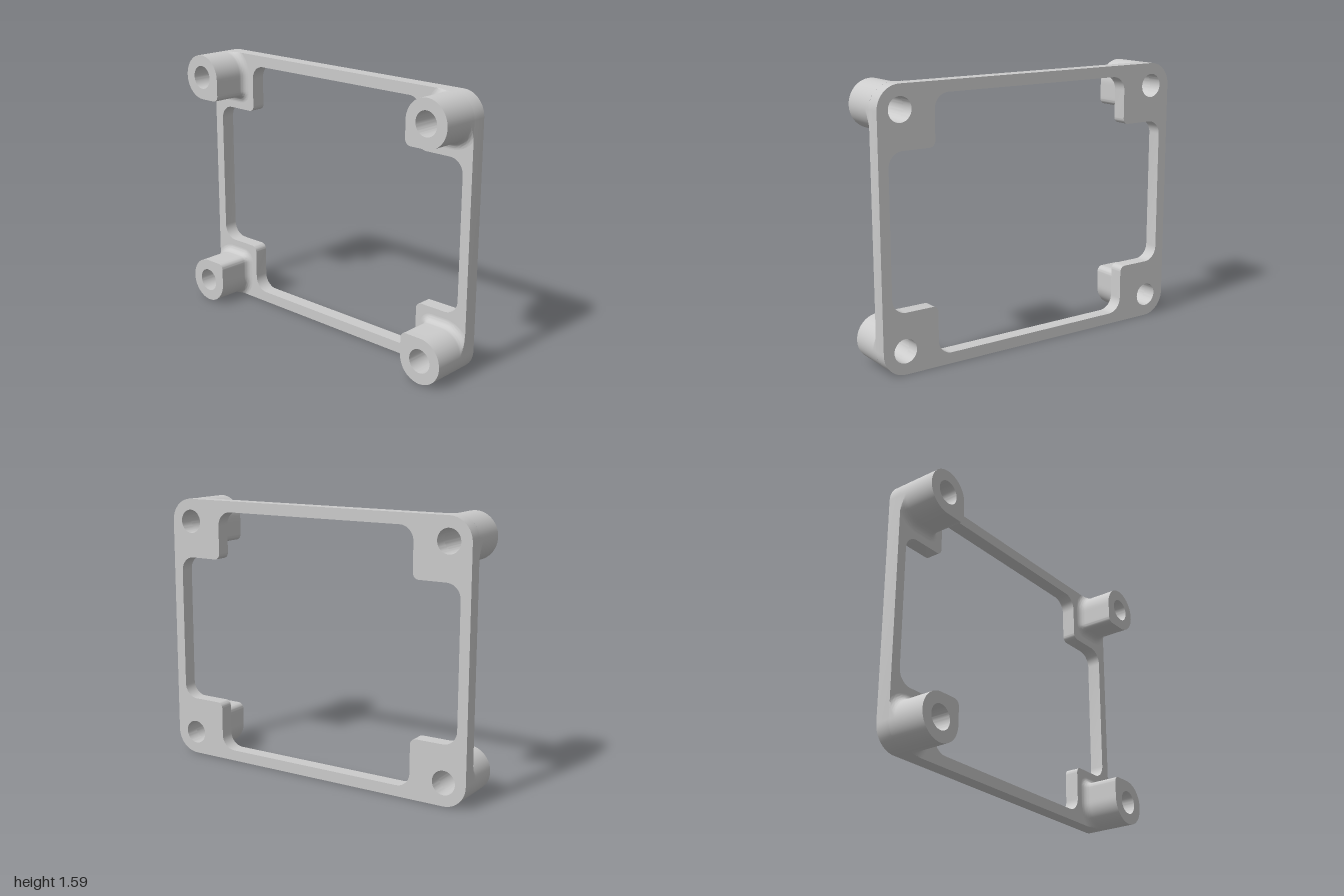
import * as THREE from 'three';
import { toCreasedNormals } from 'three/addons/utils/BufferGeometryUtils.js';

const W = 1, H = 1.59;                       // half width, full height
const Z_BACK = -0.155, Z_PLATE = -0.07, Z_FRONT = 0.155;
const R = 0.135, HOLE = 0.07, FILLET = 0.042; // boss radius, bore, base fillet
const CX = W - R, CY = H / 2 - R;            // boss centre, from the middle

// Polygon with each corner [x, y, radius] replaced by an arc
function roundedPolygon(corners) {
  const points = [];
  corners.forEach(([x, y, r], i) => {
    const c = new THREE.Vector2(x, y);
    const dirTo = ([px, py]) => new THREE.Vector2(px, py).sub(c).normalize().multiplyScalar(r);
    const n = corners.length;
    const a = dirTo(corners[(i + n - 1) % n]), b = dirTo(corners[(i + 1) % n]);
    const steps = 10;
    for (let k = 0; k <= steps; k++) {
      const t = (k / steps) * Math.PI / 2;
      points.push(c.clone().addScaledVector(a, 1 - Math.sin(t)).addScaledVector(b, 1 - Math.cos(t)));
    }
  });
  return points;
}

// Flat frame with stepped corner pads and four bores
function frameGeometry() {
  const h = H / 2;
  const shape = new THREE.Shape(roundedPolygon([[-W, -h, R], [W, -h, R], [W, h, R], [-W, h, R]]));
  const railX = 0.94, railY = 0.73, padX = 0.655, padY = 0.442;
  const opening = [];
  for (const [sx, sy] of [[1, 1], [-1, 1], [-1, -1], [1, -1]]) {
    const step = [
      [sx * railX, sy * padY, 0.085],
      [sx * padX, sy * padY, 0.035],
      [sx * padX, sy * railY, 0.085],
    ];
    opening.push(...(sx * sy > 0 ? step : step.reverse()));
  }
  shape.holes.push(new THREE.Path(roundedPolygon(opening)));
  for (const sx of [-1, 1]) for (const sy of [-1, 1]) {
    shape.holes.push(new THREE.Path().absarc(sx * CX, sy * CY, HOLE, 0, Math.PI * 2, true));
  }
  const geo = new THREE.ExtrudeGeometry(shape, { depth: Z_PLATE - Z_BACK, bevelEnabled: false, curveSegments: 24 });
  geo.translate(0, h, Z_BACK);
  return toCreasedNormals(geo, 0.5);
}

// Boss outline about its centre, u and v pointing outward: round, squared on the inner corner
function bossOutline() {
  const list = [], corner = 0.035, s = R - corner;
  const add = (u, v, angle) => list.push({ u, v, nu: Math.cos(angle), nv: Math.sin(angle) });
  for (let i = 0; i <= 42; i++) {
    const a = -Math.PI / 2 + (i / 42) * Math.PI * 1.5;
    add(R * Math.cos(a), R * Math.sin(a), a);
  }
  for (let i = 1; i < 6; i++) add(-R, -s * i / 6, Math.PI);
  for (let i = 0; i <= 8; i++) {
    const a = Math.PI + (i / 8) * Math.PI / 2;
    add(-s + corner * Math.cos(a), -s + corner * Math.sin(a), a);
  }
  for (let i = 1; i < 6; i++) add(-s + s * i / 6, -R, Math.PI * 1.5);
  return list;
}

// Boss skin: base fillet trimmed to the frame edge, wall, front face and bore
function bossGeometry(sx, sy) {
  const outline = bossOutline(), rings = [];
  const outer = (d, z) => rings.push(outline.map(({ u, v, nu, nv }) => {
    const grow = u > 0 && v > 0 ? 0 : d;
    return [Math.min(u + nu * grow, R), Math.min(v + nv * grow, R), z];
  }));
  const bore = z => rings.push(outline.map(({ u, v }) => {
    const k = HOLE / Math.hypot(u, v);
    return [u * k, v * k, z];
  }));
  for (let i = 0; i <= 10; i++) {
    const t = (i / 10) * Math.PI / 2;
    outer(FILLET * (1 - Math.sin(t)), Z_PLATE + FILLET * (1 - Math.cos(t)));
  }
  outer(0, Z_FRONT);
  bore(Z_FRONT);
  bore(Z_PLATE);

  const n = outline.length, positions = [], index = [];
  for (const ring of rings) for (const [u, v, z] of ring) {
    positions.push(sx * (CX + u), H / 2 + sy * (CY + v), z);
  }
  for (let i = 0; i < rings.length - 1; i++) for (let j = 0; j < n; j++) {
    const a = i * n + j, b = i * n + (j + 1) % n, c = b + n, d = a + n;
    if (sx * sy > 0) index.push(a, b, c, a, c, d);
    else index.push(a, c, b, a, d, c);
  }
  const geo = new THREE.BufferGeometry();
  geo.setAttribute('position', new THREE.Float32BufferAttribute(positions, 3));
  geo.setIndex(index);
  return toCreasedNormals(geo, 0.5);
}

export function createModel() {
  const model = new THREE.Group();
  model.name = 'mountingFrame';
  const material = new THREE.MeshStandardMaterial({ color: 0xcccccc });
  const add = (name, geo) => {
    const mesh = new THREE.Mesh(geo, material);
    mesh.name = name;
    model.add(mesh);
  };
  add('frame', frameGeometry());
  for (const sx of [-1, 1]) for (const sy of [-1, 1]) {
    add((sy > 0 ? 'upper' : 'lower') + (sx > 0 ? 'Left' : 'Right') + 'Boss', bossGeometry(sx, sy));
  }
  return model;
}
